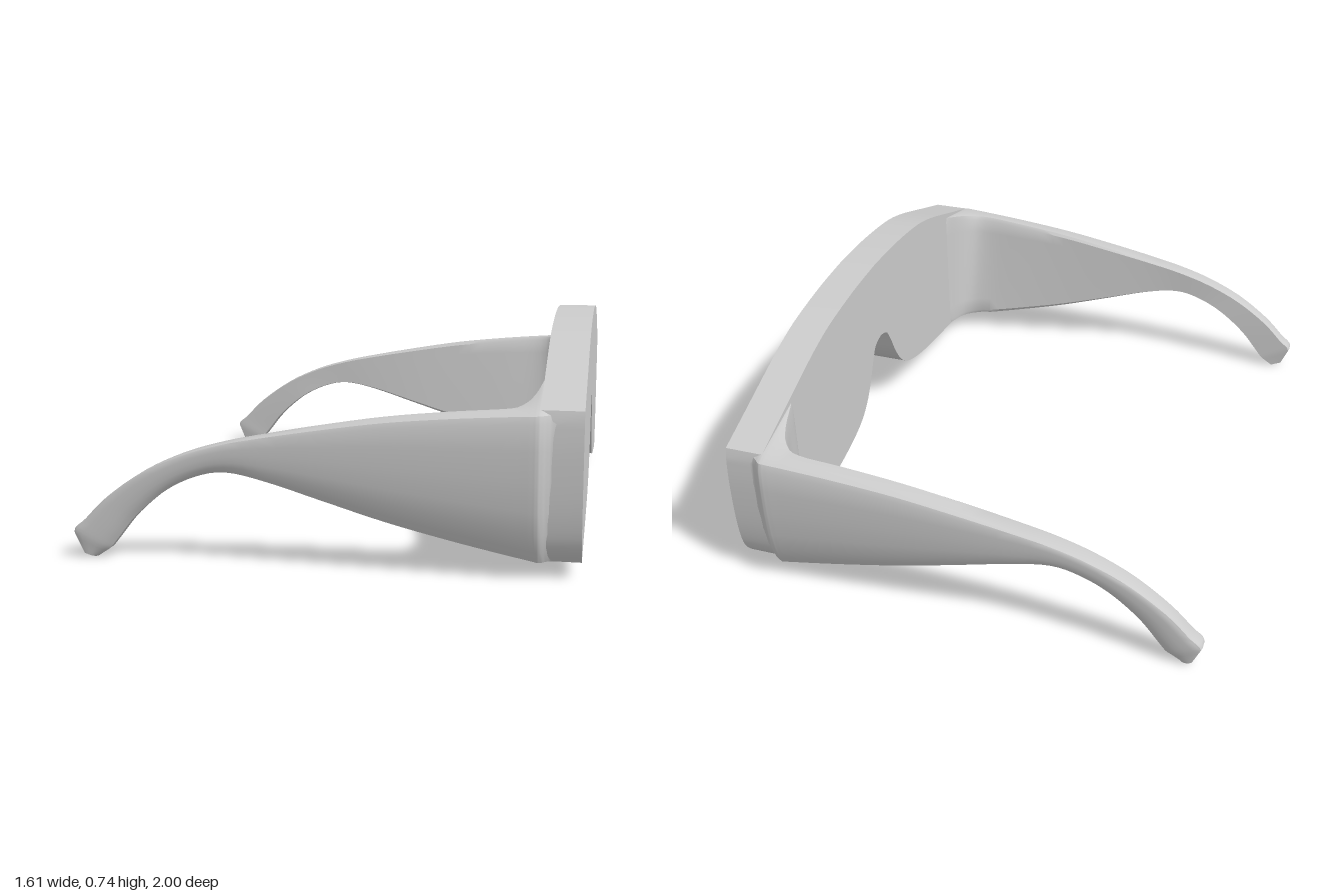
import * as THREE from 'three';
import { toCreasedNormals } from 'three/addons/utils/BufferGeometryUtils.js';

const material = new THREE.MeshStandardMaterial({ color: 0xcccccc, side: THREE.DoubleSide });
const mesh = (geometry, name) => {
  const m = new THREE.Mesh(toCreasedNormals(geometry, 0.6), material);
  m.name = name;
  return m;
};
const spline = (pts, n) =>
  new THREE.SplineCurve(pts.map(p => new THREE.Vector2(...p))).getPoints(n);

// One-piece wraparound shield: half outline, mirrored, extruded front to back
function shield() {
  const top = spline([[0, .74], [.2, .731], [.4, .708], [.53, .678], [.66, .635], [.82, .578], [.958, .53]], 30);
  const side = spline([[.966, .5], [.971, .4], [.966, .25], [.952, .15], [.932, .095], [.9, .055]], 16);
  const lower = spline([[.9, .055], [.6, .092], [.4, .123], [.26, .162], [.18, .212],
    [.125, .285], [.085, .365], [.052, .413], [0, .43]], 40).slice(1);
  const half = [...top, ...side, ...lower];
  const other = half.slice(1, -1).reverse().map(p => new THREE.Vector2(-p.x, p.y));
  const geometry = new THREE.ExtrudeGeometry(new THREE.Shape([...half, ...other]),
    { depth: 0.13, bevelEnabled: false });
  geometry.rotateY(Math.PI / 2).translate(0.67, 0, 0);
  return mesh(geometry, 'shield');
}

// Temple stations: top x, top y, bottom x, bottom y, outer z, inner z at top, inner z at bottom
const STATIONS = [
  [.73, .53, .73, .055, .968, .74, .74],
  [.70, .53, .70, .055, .974, .72, .72],
  [.672, .53, .672, .055, .998, .72, .72],
  [.65, .529, .65, .06, 1.0, .81, .79],
  [.62, .527, .62, .066, .999, .875, .825],
  [.56, .523, .56, .078, .997, .91, .843],
  [.4, .51, .4, .113, .992, .91, .858],
  [.2, .488, .2, .163, .986, .908, .872],
  [0, .455, 0, .224, .98, .905, .884],
  [-.17, .423, -.17, .276, .974, .905, .895],
  [-.31, .393, -.3, .3, .97, .905, .902],
  [-.44, .353, -.4, .282, .968, .906, .902],
  [-.57, .292, -.5, .232, .967, .908, .9],
  [-.69, .207, -.595, .152, .966, .91, .902],
  [-.765, .132, -.66, .072, .966, .91, .904],
  [-.805, .09, -.692, .034, .965, .91, .904],
  [-.776, .02, -.735, .005, .955, .915, .91]
];
// Outer face: position from top to bottom, inset at full height
const OUTER = [[0, .04], [.03, .012], [.08, .003], [.25, 0], [.45, .002], [.65, .01], [.8, .024], [.92, .046], [1, .07]];
const INNER = [1, .97, .85, .7, .5, .3, .15, .03, 0];
const STEPS = 4;

// Ring of points around the temple at one station
function section([xt, yt, xb, yb, zo, zt, zb], s) {
  const size = Math.hypot(xt - xb, yt - yb);
  const k = THREE.MathUtils.clamp(size / .475, .3, 1);
  const ring = OUTER.map(([t, inset]) =>
    [xt + (xb - xt) * t, yt + (yb - yt) * t, s * (zo - inset * k)]);
  for (const t of INNER) {
    const edge = t === 0 || t === 1 ? .008 : 0;
    const zi = zt + (zb - zt) * t;
    // The root fillet follows the sloping top and bottom of the shield
    const y0 = yt + Math.max(0, .9 - zi) * .33 * (zi < .9 && xt > .55 ? 1 : 0);
    const y1 = yb + (xb > .55 ? Math.max(0, .88 - zi) * .14 : 0);
    ring.push([xt + (xb - xt) * t, y0 + (y1 - y0) * t, s * (zi + edge)]);
  }
  return ring;
}

function temple(s, name) {
  const curve = new THREE.CubicInterpolant(STATIONS.map((_, i) => i), STATIONS.flat(), 7);
  const rings = [];
  const last = STATIONS.length - 1;
  for (let i = 0; i <= last * STEPS; i++) {
    const u = i / STEPS;
    // Straight blunt end after the last full station
    const row = u > last - 1 && u < last
      ? STATIONS[last - 1].map((v, j) => v + (STATIONS[last][j] - v) * (u - last + 1))
      : Array.from(curve.evaluate(u));
    rings.push(section(row, s));
  }
  const n = rings[0].length;
  const index = [];
  const tri = (a, b, c) => (s > 0 ? index.push(a, b, c) : index.push(a, c, b));
  for (let i = 0; i < rings.length - 1; i++) {
    for (let j = 0; j < n; j++) {
      const a = i * n + j, b = i * n + (j + 1) % n;
      tri(a, a + n, b);
      tri(b, a + n, b + n);
    }
  }
  // Tip cap
  const base = (rings.length - 1) * n;
  for (let j = 1; j < n - 1; j++) tri(base, base + j + 1, base + j);
  const geometry = new THREE.BufferGeometry();
  geometry.setAttribute('position', new THREE.Float32BufferAttribute(rings.flat(2), 3));
  geometry.setIndex(index);
  return mesh(geometry, name);
}

export function createModel() {
  const group = new THREE.Group();
  group.name = 'wraparoundGlasses';
  group.add(shield(), temple(1, 'templeFront'), temple(-1, 'templeBack'));
  return group;
}
